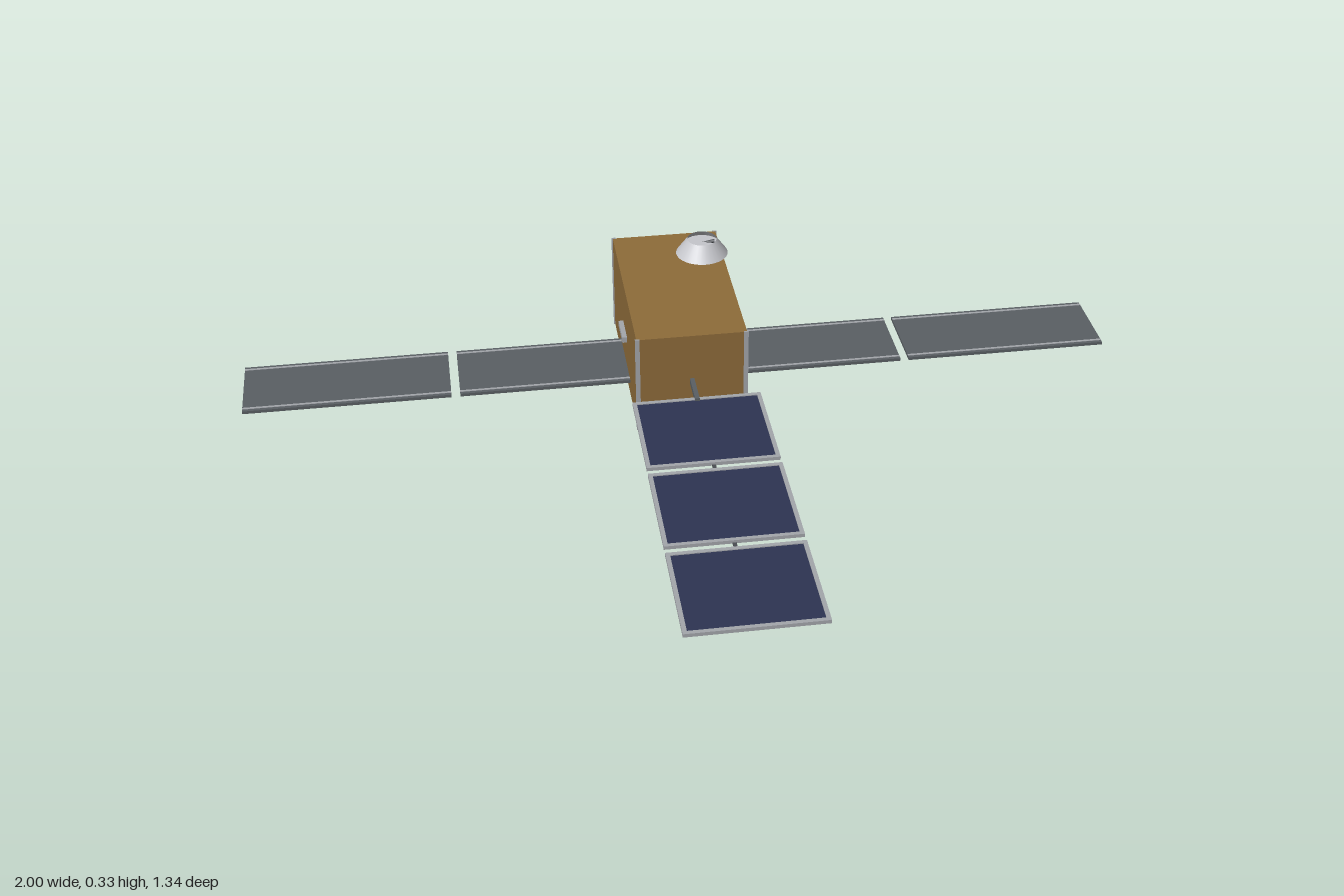
import * as THREE from 'three';

const paint = (name, color, side = THREE.FrontSide) => {
  const m = new THREE.MeshStandardMaterial({ color, side });
  m.name = name;
  return m;
};

export function createModel() {
  const model = new THREE.Group();
  model.name = 'satellite';
  const gold = paint('goldFoil', 0x8e6c3a);
  const silver = paint('silver', 0xa4a7ac);
  const pale = paint('paleGrey', 0xc6c7cc, THREE.DoubleSide);
  const slate = paint('slateGrey', 0x5a6064);
  const navy = paint('navyCells', 0x2d3452);
  const dark = paint('darkGrey', 0x4a4d52, THREE.DoubleSide);

  // Box given by its lower and upper limits on each axis
  const box = (name, mat, [x0, x1], [y0, y1], [z0, z1], parent = model) => {
    const mesh = new THREE.Mesh(new THREE.BoxGeometry(x1 - x0, y1 - y0, z1 - z0), mat);
    mesh.position.set((x0 + x1) / 2, (y0 + y1) / 2, (z0 + z1) / 2);
    mesh.name = name;
    parent.add(mesh);
    return mesh;
  };

  // Main body, rear radiator and the box underneath
  box('body', gold, [-0.123, 0.123], [0.035, 0.27], [-0.66, -0.197]);
  box('rearPanel', silver, [-0.107, 0.107], [0.055, 0.252], [-0.672, -0.66]);
  box('bellySensor', slate, [-0.045, 0.045], [0, 0.035], [-0.347, -0.257]);

  // Slim trims on the upright corners
  for (const s of [-1, 1]) {
    for (const z of [-0.197, -0.66]) {
      box('cornerTrim', silver, [s * 0.121 - 0.005, s * 0.121 + 0.005], [0.034, 0.271], [z - 0.002, z + 0.002]);
    }
  }

  for (const s of [-1, 1]) {
    // Small fitting on each flank
    box('sideFitting', silver, [s * 0.127 - 0.007, s * 0.127 + 0.007], [0.146, 0.16], [-0.465, -0.39]);
    // Side wing of two panels with pale edge strips
    const wing = new THREE.Group();
    wing.name = s > 0 ? 'leftWing' : 'rightWing';
    model.add(wing);
    for (const [a, b] of [[0.12, 0.512], [0.532, 1]]) {
      const xs = s > 0 ? [a, b] : [-b, -a];
      box('wingPanel', slate, xs, [0.068, 0.075], [-0.525, -0.34], wing);
      for (const z of [-0.514, -0.351]) {
        box('wingEdgeStrip', silver, xs, [0.075, 0.076], [z - 0.003, z + 0.003], wing);
      }
    }
  }

  // Front array: three framed cell panels on a boom
  const array = new THREE.Group();
  array.name = 'frontArray';
  model.add(array);
  for (const z of [-0.002, 0.268, 0.538]) {
    const [w, d, rim] = [0.142, 0.125, 0.009];
    box('cellPanel', navy, [-w + rim, w - rim], [0.148, 0.153], [z - d + rim, z + d - rim], array);
    for (const s of [-1, 1]) {
      const x = s * (w - rim / 2), e = z + s * (d - rim / 2);
      box('frameSide', silver, [x - rim / 2, x + rim / 2], [0.147, 0.155], [z - d, z + d], array);
      box('frameEnd', silver, [-w + rim, w - rim], [0.147, 0.155], [e - rim / 2, e + rim / 2], array);
    }
  }
  box('boom', dark, [-0.004, 0.004], [0.146, 0.1495], [-0.2, 0.66], array);
  box('boomRoot', slate, [-0.005, 0.005], [0.147, 0.16], [-0.2, -0.115], array);

  // Dish: sloping wall with a recessed floor and a feed inside
  const dish = new THREE.Group();
  dish.name = 'dish';
  dish.position.set(0.07, 0, -0.52);
  model.add(dish);
  const wall = new THREE.Mesh(new THREE.CylinderGeometry(0.034, 0.06, 0.036, 32, 1, true), pale);
  wall.name = 'dishWall';
  wall.position.y = 0.313;
  const floor = new THREE.Mesh(new THREE.CircleGeometry(0.044, 32), pale);
  floor.name = 'dishFloor';
  floor.rotation.x = -Math.PI / 2;
  floor.position.y = 0.316;
  const feed = new THREE.Mesh(new THREE.ConeGeometry(0.005, 0.028, 8), dark);
  feed.name = 'dishFeed';
  feed.rotation.z = Math.PI / 2;
  feed.position.set(0.015, 0.322, 0);
  dish.add(wall, floor, feed);

  return model;
}
